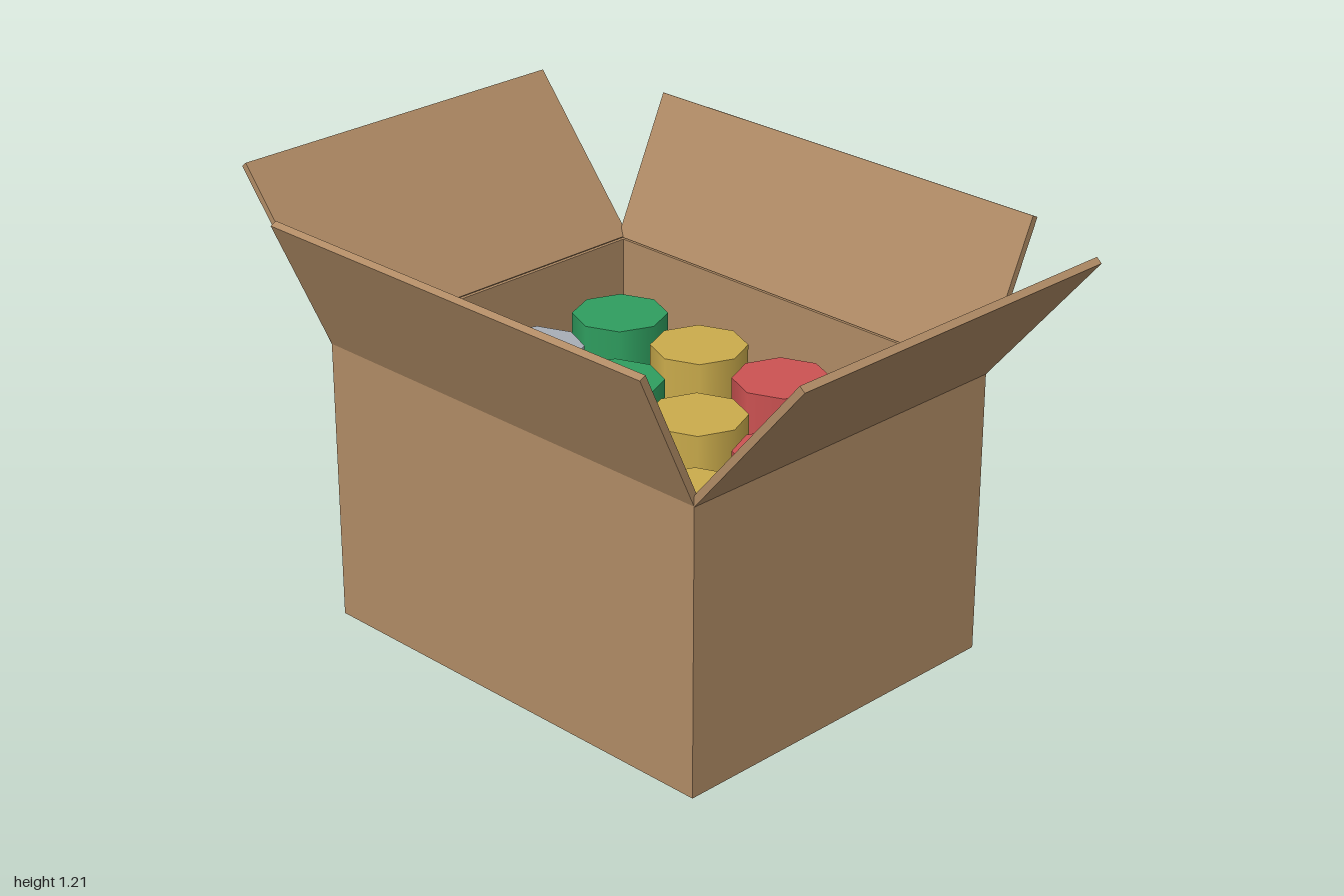
import * as THREE from 'three';

const material = (name, color) => {
  const m = new THREE.MeshStandardMaterial({ color });
  m.name = name;
  return m;
};

export function createModel() {
  const root = new THREE.Group();
  root.name = 'openBoxOfCans';

  const cardboard = material('cardboard', 0xb08b65);
  const canColors = [
    material('green', 0x2f9e5f),
    material('yellow', 0xcbac4c),
    material('red', 0xcc5252),
    material('silver', 0xa7aeb6),
  ];

  const W = 1.32, D = 1.06, H = 0.8, T = 0.02;

  const addBox = (name, size, pos, parent = root) => {
    const mesh = new THREE.Mesh(new THREE.BoxGeometry(...size), cardboard);
    mesh.name = name;
    mesh.position.set(...pos);
    parent.add(mesh);
    return mesh;
  };

  // Flap hinged on the middle of a wall's top edge, leaning outwards
  const addFlap = (name, size, hinge, rotX, rotZ) => {
    const pivot = new THREE.Group();
    pivot.name = name + 'Hinge';
    pivot.position.set(...hinge);
    pivot.rotation.set(rotX, 0, rotZ);
    addBox(name, size, [0, size[1] / 2, 0], pivot);
    root.add(pivot);
  };

  // Carton floor, walls and flaps
  addBox('floor', [W - 2 * T, T, D - 2 * T], [0, T / 2, 0]);
  const shortLean = THREE.MathUtils.degToRad(25);
  const longLean = THREE.MathUtils.degToRad(40);
  for (const s of [1, -1]) {
    const z = s * (D - T) / 2, x = s * (W - T) / 2;
    const end = s > 0 ? 'front' : 'back', side = s > 0 ? 'left' : 'right';
    addBox(end + 'Wall', [W, H, T], [0, H / 2, z]);
    addBox(side + 'Wall', [T, H, D - 2 * T], [x, H / 2, 0]);
    addFlap(end + 'Flap', [W, 0.42, T], [0, H, z], s * shortLean, 0);
    addFlap(side + 'Flap', [T, 0.53, D], [x, H, 0], 0, -s * longLean);
  }

  // Three rows of four eight-sided cans, colours shifting one place per row
  const canHeight = 0.67;
  const canGeometry = new THREE.CylinderGeometry(0.132, 0.132, canHeight, 8);
  for (let row = 0; row < 3; row++) {
    for (let col = 0; col < 4; col++) {
      const can = new THREE.Mesh(canGeometry, canColors[(col - row + 4) % 4]);
      can.name = `can${row + 1}_${col + 1}`;
      can.position.set((col - 1.5) * 0.304, T + canHeight / 2, (row - 1) * 0.317);
      root.add(can);
    }
  }
  return root;
}
